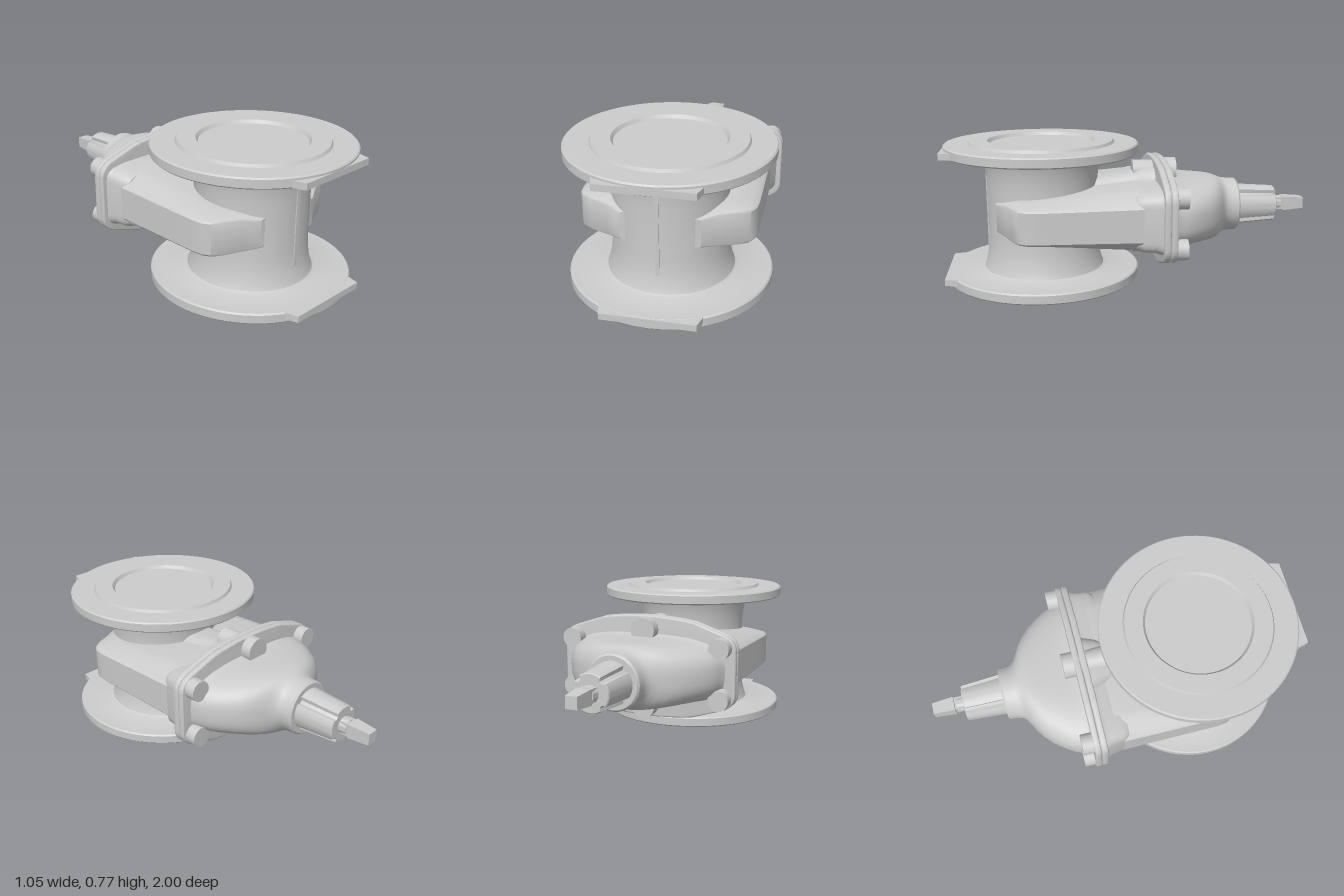
import * as THREE from 'three';
import { toCreasedNormals } from 'three/addons/utils/BufferGeometryUtils.js';

const CY = 0.3875;   // height of the stem axis
const PIPE_Z = 0.475; // depth of the vertical pipe axis

export function createModel() {
  const model = new THREE.Group();
  const mat = new THREE.MeshStandardMaterial({ color: 0xcccccc });

  const add = (name, geo, x = 0, y = 0, z = 0, crease = 0.6) => {
    const mesh = new THREE.Mesh(toCreasedNormals(geo, crease), mat);
    mesh.name = name;
    mesh.position.set(x, y, z);
    model.add(mesh);
    return mesh;
  };

  // Skin over rings of [x, y] points (counter-clockwise), listed from high z to low z
  const loft = (rings) => {
    const n = rings[0].pts.length, pos = [], idx = [];
    rings.forEach(({ z, pts }) => pts.forEach(([x, y]) => pos.push(x, y, z)));
    for (let i = 0; i < rings.length - 1; i++) {
      for (let j = 0; j < n; j++) {
        const a = i * n + j, b = i * n + (j + 1) % n;
        idx.push(a, a + n, b, b, a + n, b + n);
      }
    }
    const last = (rings.length - 1) * n, c = pos.length / 3;
    pos.push(0, 0, rings[0].z, 0, 0, rings[rings.length - 1].z);
    for (let j = 0; j < n; j++) {
      const k = (j + 1) % n;
      idx.push(c, j, k, c + 1, last + k, last + j);
    }
    const geo = new THREE.BufferGeometry();
    geo.setAttribute('position', new THREE.Float32BufferAttribute(pos, 3));
    geo.setIndex(idx);
    return geo;
  };

  // Superellipse ring: e = 2 is an ellipse, larger is boxier
  const oval = (z, w, h, e = 2, n = 64) => {
    const pts = [];
    for (let i = 0; i < n; i++) {
      const t = (i / n) * Math.PI * 2, c = Math.cos(t), s = Math.sin(t);
      pts.push([
        w * Math.sign(c) * Math.abs(c) ** (2 / e),
        h * Math.sign(s) * Math.abs(s) ** (2 / e),
      ]);
    }
    return { z, pts };
  };
  const ovals = (list) => loft(list.map((s) => oval(...s)));

  // Pipe with flared ends, two flanges, raised faces and recessed discs
  const half = [
    [0, 0.018], [0.278, 0.018], [0.29, 0], [0.387, 0], [0.395, 0.015],
    [0.518, 0.015], [0.525, 0.022], [0.525, 0.064], [0.518, 0.071],
    [0.345, 0.071], [0.33, 0.08], [0.322, 0.1], [0.31, 0.15], [0.303, 0.195], [0.3, 0.25],
  ];
  const profile = [...half, ...half.map(([r, y]) => [r, 2 * CY - y]).reverse()];
  add('pipeBody', new THREE.LatheGeometry(profile.map((p) => new THREE.Vector2(...p)), 96), 0, 0, PIPE_Z);

  // Flat feet on the front of both flanges
  const foot = new THREE.Shape([[-0.26, 0.9], [-0.25, 0.945], [-0.235, 1], [0.235, 1], [0.25, 0.945], [0.26, 0.9]]
    .map(([x, z]) => new THREE.Vector2(x, -z)).reverse());
  for (const [name, y] of [['lowerFoot', 0.036], ['upperFoot', 0.709]]) {
    const geo = new THREE.ExtrudeGeometry(foot, { depth: 0.034, bevelEnabled: false });
    add(name, geo.rotateX(-Math.PI / 2), 0, y, 0);
  }

  // Casting seam down the front of the pipe
  add('frontSeam', new THREE.BoxGeometry(0.02, 0.6, 0.03), 0, CY, 0.767);

  // Wedge-shaped gate housing wrapped around the pipe
  const wedge = ([z, w, f, h]) => {
    const q = [[w, f * 0.9], [w - 0.008, f], [w - 0.04, f + (h - f) * 0.35],
      [w - 0.1, f + (h - f) * 0.85], [w - 0.14, h], [0.02, h]];
    const up = [...q, ...q.map(([x, y]) => [-x, y]).reverse()];
    return { z, pts: [...up, ...up.map(([x, y]) => [-x, -y])] };
  };
  add('gateHousing', loft([
    [0.72, 0.2, 0.075, 0.085], [0.67, 0.28, 0.085, 0.1], [0.63, 0.375, 0.088, 0.105],
    [0.6, 0.42, 0.09, 0.11], [0.56, 0.443, 0.09, 0.113], [0.5, 0.45, 0.09, 0.118],
    [0.3, 0.45, 0.092, 0.137], [0, 0.45, 0.096, 0.163], [-0.06, 0.45, 0.1, 0.165],
  ].map(wedge)), 0, CY, 0);

  // Central bulge between pipe and bonnet joint
  add('centreNeck', ovals([
    [0.3, 0.14, 0.17, 4], [0.14, 0.125, 0.182, 4], [0.02, 0.11, 0.198, 4],
    [-0.02, 0.115, 0.205, 4], [-0.06, 0.14, 0.22, 4], [-0.14, 0.17, 0.235, 4],
  ]), 0, CY, 0);

  // Collar leading into the joint
  add('jointCollar', ovals([
    [0, 0.43, 0.15, 7], [-0.03, 0.45, 0.163, 7], [-0.1, 0.458, 0.168, 7], [-0.14, 0.475, 0.18, 7],
  ]), 0, CY, 0);

  // Two bolted plates with a crowned outline
  const plate = new THREE.Shape();
  plate.moveTo(0.49, -0.11);
  plate.lineTo(0.49, 0.11);
  plate.quadraticCurveTo(0.49, 0.17, 0.43, 0.193);
  plate.lineTo(0.26, 0.248);
  plate.quadraticCurveTo(0.13, 0.268, 0, 0.268);
  plate.quadraticCurveTo(-0.13, 0.268, -0.26, 0.248);
  plate.lineTo(-0.43, 0.193);
  plate.quadraticCurveTo(-0.49, 0.17, -0.49, 0.11);
  plate.lineTo(-0.49, -0.11);
  plate.quadraticCurveTo(-0.49, -0.17, -0.43, -0.193);
  plate.lineTo(-0.26, -0.248);
  plate.quadraticCurveTo(-0.13, -0.268, 0, -0.268);
  plate.quadraticCurveTo(0.13, -0.268, 0.26, -0.248);
  plate.lineTo(0.43, -0.193);
  plate.quadraticCurveTo(0.49, -0.17, 0.49, -0.11);
  for (const [name, z] of [['bodyPlate', -0.157], ['bonnetPlate', -0.193]]) {
    const geo = new THREE.ExtrudeGeometry(plate, {
      depth: 0.018, bevelThickness: 0.008, bevelSize: 0.008, bevelSegments: 3, curveSegments: 14,
    });
    add(name, geo, 0, CY, z);
  }

  // Bolt bosses on both sides of the joint
  for (const sy of [-1, 1]) {
    for (const [x, y, r] of [[0, 0.205, 0.068], [0.425, 0.135, 0.055], [-0.425, 0.135, 0.055]]) {
      const rear = new THREE.CylinderGeometry(r, r, 0.1, 28).rotateX(Math.PI / 2);
      add('rearBoltBoss', rear, x, CY + sy * y, -0.21);
      if (x === 0) {
        const front = new THREE.CylinderGeometry(0.06, 0.066, 0.13, 28).rotateX(-Math.PI / 2);
        add('frontBoltBoss', front, x, CY + sy * y * 0.97, -0.085);
      }
    }
  }

  // Domed bonnet blending from a wide oval to a round neck
  add('bonnet', ovals([
    [-0.19, 0.45, 0.185, 3.2], [-0.21, 0.437, 0.178, 3], [-0.25, 0.43, 0.172, 3],
    [-0.3, 0.408, 0.171, 2.9], [-0.35, 0.375, 0.17, 2.8], [-0.4, 0.335, 0.17, 2.7],
    [-0.44, 0.292, 0.17, 2.6], [-0.47, 0.25, 0.168, 2.5], [-0.495, 0.205, 0.162, 2.3],
    [-0.515, 0.172, 0.154, 2.1], [-0.535, 0.155, 0.15, 2], [-0.56, 0.149, 0.148, 2],
    [-0.6, 0.147, 0.147, 2], [-0.61, 0.138, 0.138, 2],
  ]), 0, CY, 0);

  // Tapered gland with four lengthwise grooves
  const grooved = (z, r) => {
    const pts = [];
    for (let i = 0; i < 64; i++) {
      const t = (i / 64) * Math.PI * 2;
      const k = r * (Math.abs((i % 16) - 8) <= 1 ? 0.84 : 1);
      pts.push([k * Math.cos(t), k * Math.sin(t)]);
    }
    return { z, pts };
  };
  add('gland', loft([grooved(-0.6, 0.114), grooved(-0.822, 0.099), grooved(-0.828, 0.094)]), 0, CY, 0);

  // Square tapered stem with a shoulder
  add('stemShoulder', ovals([[-0.82, 0.046, 0.044, 2, 32], [-0.87, 0.04, 0.04, 2, 32]]), 0, CY, 0);
  const square = (z, r) => ({ z, pts: [[r, -r], [r, r], [-r, r], [-r, -r]] });
  add('stem', loft([square(-0.82, 0.034), square(-0.88, 0.034), square(-0.882, 0.039), square(-1, 0.031)]), 0, CY, 0, 0.3);

  return model;
}
